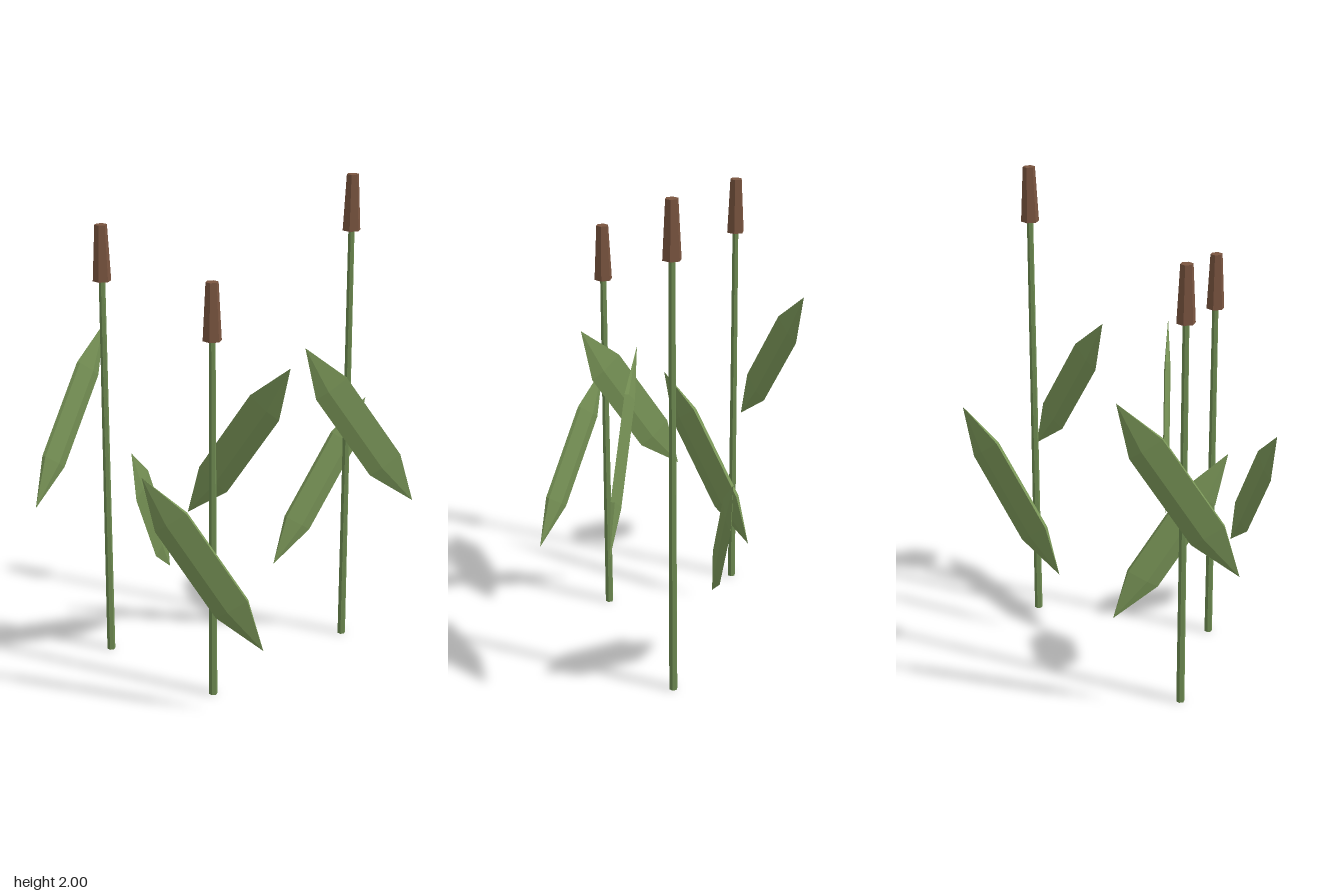
import * as THREE from 'three';

const mat = (name, color) => {
  const m = new THREE.MeshStandardMaterial({ color, flatShading: true });
  m.name = name;
  return m;
};

export function createModel() {
  const stemGreen = mat('stem green', 0x6f8c52);
  const leafGreen = mat('leaf green', 0x7a9658);
  const seedBrown = mat('seed head brown', 0x7a5540);
  const group = new THREE.Group();
  group.name = 'reeds';

  const add = (name, geometry, material) => {
    const mesh = new THREE.Mesh(geometry, material);
    mesh.name = name;
    group.add(mesh);
    return mesh;
  };

  // Stalks with tapered hexagonal seed heads: x, z, total height
  const headHeight = 0.225;
  for (const [x, z, top] of [[-0.477, 0.12, 1.83], [0.053, 0.385, 1.7], [0.432, -0.297, 2]]) {
    const stemHeight = top - headHeight;
    add('stem', new THREE.CylinderGeometry(0.013, 0.017, stemHeight, 6), stemGreen)
      .position.set(x, stemHeight / 2, z);
    add('seedHead', new THREE.CylinderGeometry(0.025, 0.037, headHeight, 6), seedBrown)
      .position.set(x, top - headHeight / 2, z);
  }

  // Blade: a coarse faceted spindle, flattened, between its low and high tips
  const up = new THREE.Vector3(0, 1, 0);
  const leaf = (low, high) => {
    const a = new THREE.Vector3(...low), b = new THREE.Vector3(...high);
    const along = b.clone().sub(a);
    const geometry = new THREE.SphereGeometry(1, 5, 3);
    geometry.scale(0.096, along.length() / 2, 0.016);
    along.normalize();
    const side = up.clone().cross(along).normalize();
    const across = along.clone().cross(side);
    const mesh = add('leaf', geometry, leafGreen);
    mesh.quaternion.setFromRotationMatrix(new THREE.Matrix4().makeBasis(across, along, side));
    mesh.position.copy(a).add(b).multiplyScalar(0.5);
  };
  leaf([-0.732, 0.672, 0.274], [-0.578, 1.352, -0.166]);
  leaf([-0.287, 0.305, -0.115], [-0.287, 0.982, 0.352]);
  leaf([-0.125, 0.672, 0.14], [0.325, 1.352, 0.26]);
  leaf([0.303, 0.305, 0.552], [-0.163, 0.982, 0.594]);
  leaf([0.135, 0.305, -0.255], [0.45, 0.982, -0.6]);
  leaf([0.728, 0.672, -0.238], [0.315, 1.352, -0.023]);

  return group;
}
